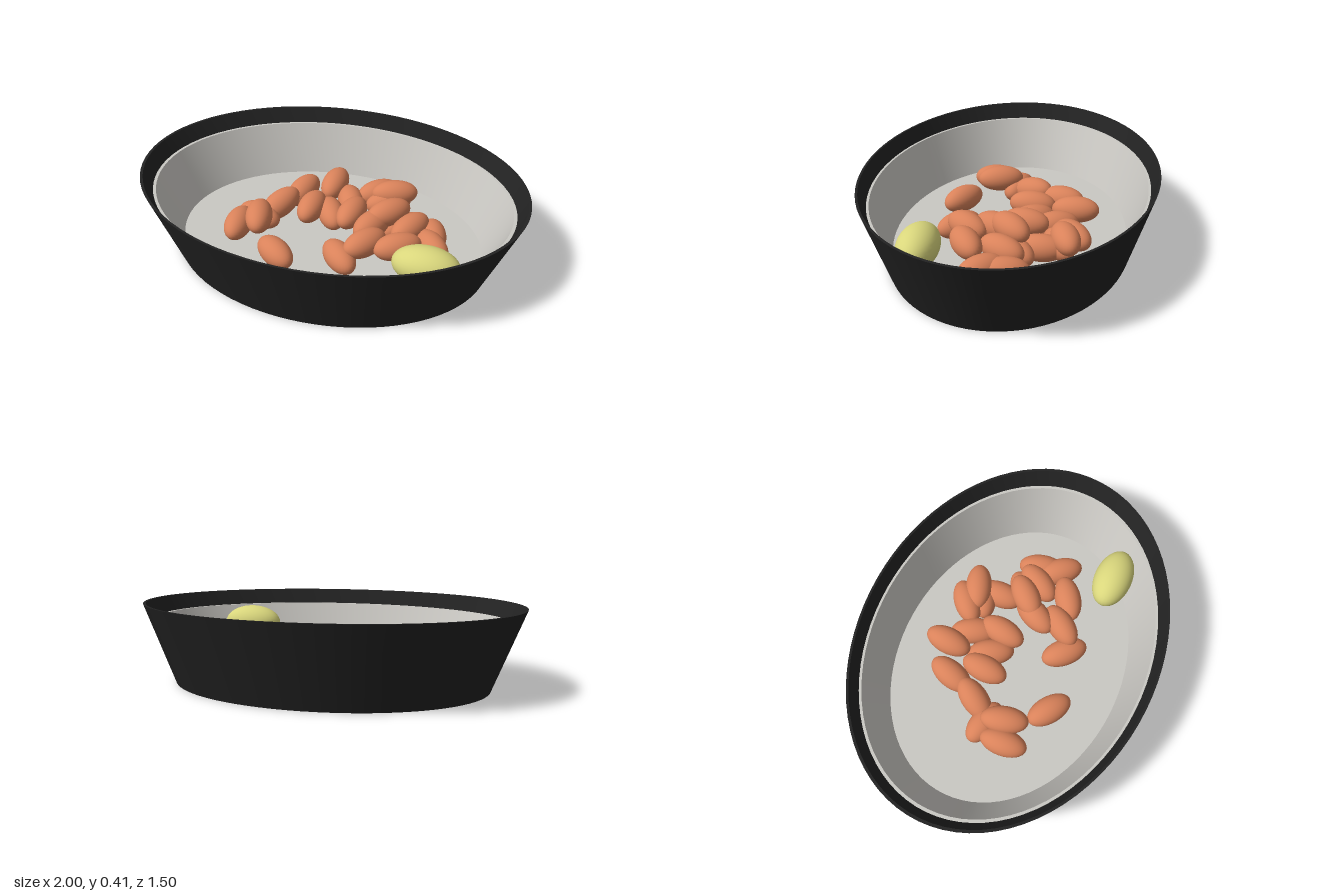
import * as THREE from 'three';
import { toCreasedNormals } from 'three/addons/utils/BufferGeometryUtils.js';

const material = (name, color) => {
  const m = new THREE.MeshStandardMaterial({ color });
  m.name = name;
  return m;
};

// Revolved profile squashed into an oval
function ovalLathe(name, profile, mat) {
  const points = profile.map(([r, y]) => new THREE.Vector2(r, y));
  const geo = new THREE.LatheGeometry(points, 80);
  geo.scale(1, 1, 0.75);
  const mesh = new THREE.Mesh(toCreasedNormals(geo, 0.5), mat);
  mesh.name = name;
  return mesh;
}

export function createModel() {
  const black = material('black shell', 0x222222);
  const grey = material('pale grey lining', 0xcac8c3);
  const orange = material('orange kibble', 0xd9825a);
  const yellow = material('yellow kibble', 0xd9d67c);
  const model = new THREE.Group();
  model.name = 'ovalDish';

  // Flared outer shell with a thin rim
  model.add(ovalLathe('outerShell',
    [[0, 0], [0.833, 0], [1, 0.415], [0.985, 0.415], [0.94, 0.33]], black));

  // Lining set a little below the rim
  model.add(ovalLathe('innerLining',
    [[0.942, 0.335], [0.926, 0.335], [0.8, 0.06], [0, 0.06]], grey));

  // Kibble pieces: x, y, z, heading in degrees from +x towards -z, pitch
  const pieces = [
    [-0.235, 0.145, -0.235, 75, 5], [-0.08, 0.165, -0.326, 88, 3],
    [0.04, 0.13, -0.235, 115, 0], [-0.135, 0.15, -0.09, 88, 0],
    [-0.03, 0.12, -0.105, 120, 0], [0.09, 0.16, -0.09, 82, 0],
    [0.17, 0.15, -0.34, 42, 0], [0.265, 0.18, -0.315, 22, 0],
    [0.29, 0.13, -0.2, 92, 0], [-0.305, 0.15, -0.065, 60, 15],
    [-0.39, 0.12, 0.03, 165, 0], [-0.45, 0.145, 0.165, 95, 0],
    [-0.35, 0.185, 0.125, 107, 0], [-0.19, 0.12, 0.305, 145, 0],
    [0.13, 0.13, 0.25, 135, 0], [0.24, 0.19, 0.18, 55, 0],
    [0.4, 0.185, 0.15, 35, 0], [0.55, 0.14, 0.04, 130, 0],
    [0.535, 0.13, -0.06, 105, 0], [0.42, 0.18, -0.03, 62, 0],
    [0.36, 0.14, -0.08, 50, 0], [0.3, 0.235, -0.05, 48, 0],
    [0.235, 0.2, 0.03, 65, 0], [0.24, 0.13, -0.28, 30, 0],
  ];
  const kibble = new THREE.SphereGeometry(1, 32, 20);
  kibble.scale(0.125, 0.07, 0.07);
  const pile = new THREE.Group();
  pile.name = 'kibblePile';
  for (const [x, y, z, heading, pitch] of pieces) {
    const piece = new THREE.Mesh(kibble, orange);
    piece.name = 'kibble';
    piece.position.set(x, y, z);
    piece.rotation.set(0, THREE.MathUtils.degToRad(heading), THREE.MathUtils.degToRad(pitch), 'YZX');
    pile.add(piece);
  }
  model.add(pile);

  // Larger yellow piece
  const large = new THREE.Mesh(new THREE.SphereGeometry(1, 32, 20), yellow);
  large.name = 'yellowKibble';
  large.scale.set(0.165, 0.095, 0.1);
  large.position.set(0.58, 0.25, 0.33);
  model.add(large);

  return model;
}
